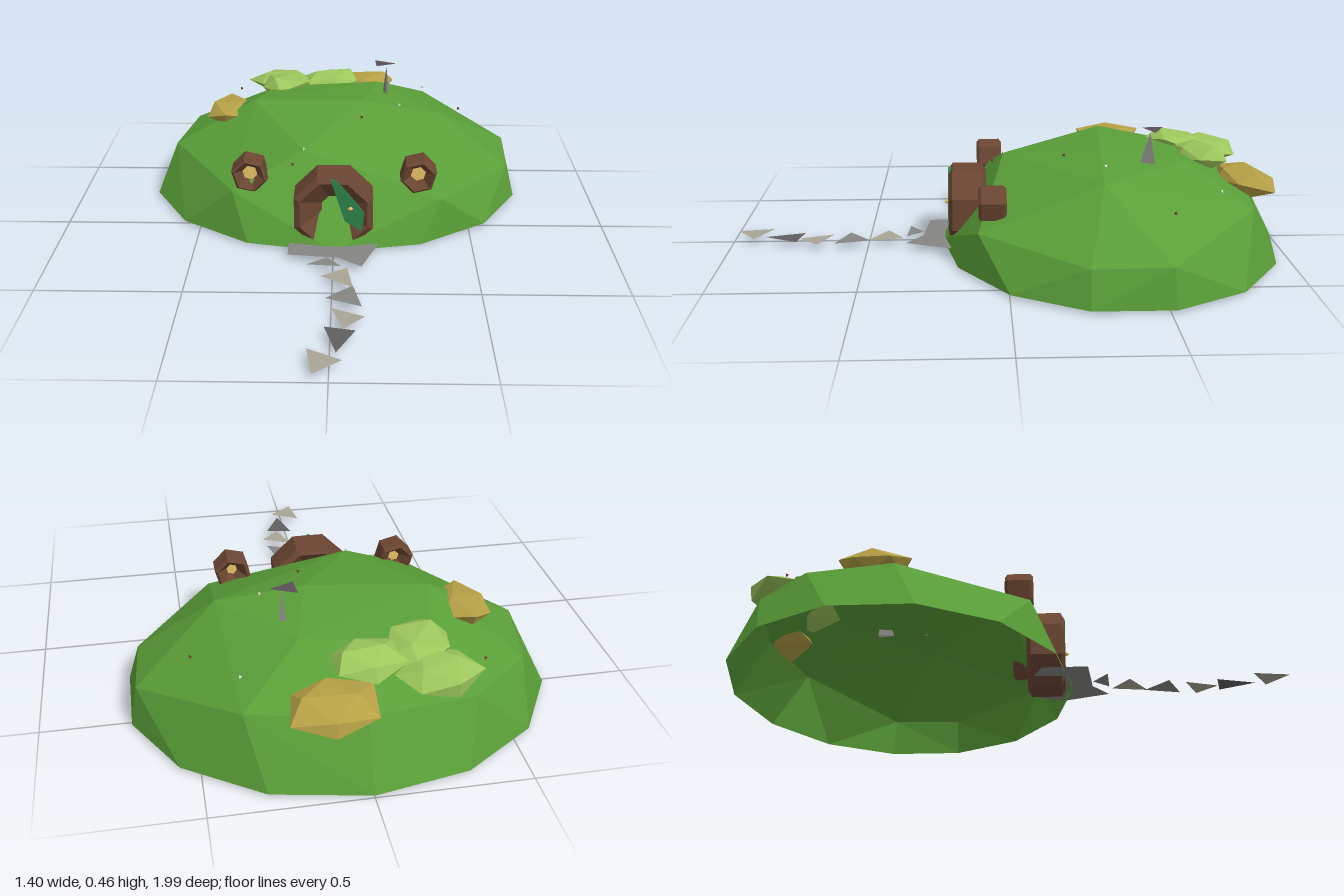
import * as THREE from 'three';
import { ConvexGeometry } from 'three/addons/geometries/ConvexGeometry.js';

const mat = (color) => new THREE.MeshStandardMaterial({ color, flatShading: true, side: THREE.DoubleSide });
const GRASS = mat(0x5a9f38), BROWN = mat(0x6b4632), STONE = mat(0x858583), SAND = mat(0xaaa595),
  DARK = mat(0x5f5f60), LEAF = mat(0x9dc75c), GOLD = mat(0xb5a045), DOOR = mat(0x2c8048),
  GLOW = mat(0xe8c468), SOOT = mat(0x5a5058), WHITE = mat(0xe8e8e0), RED = mat(0x7a3a30);

const v = (p) => new THREE.Vector3(...p);

function add(parent, name, geometry, material, position = [0, 0, 0], rotation = [0, 0, 0]) {
  const mesh = new THREE.Mesh(geometry, material);
  mesh.name = name;
  mesh.position.set(...position);
  mesh.rotation.set(...rotation);
  parent.add(mesh);
  return mesh;
}

// Flat polygon lying on the ground, corners given as [x, z]
function flat(corners) {
  const shape = new THREE.Shape(corners.map(([x, z]) => new THREE.Vector2(x, -z)));
  return new THREE.ShapeGeometry(shape).rotateX(-Math.PI / 2);
}

// Hull of the hill with its floor left open
function hillGeometry() {
  const points = [];
  for (let i = 0; i < 14; i++) {
    const a = (i / 14) * Math.PI * 2;
    points.push(new THREE.Vector3(0.72 * Math.sin(a), 0.02, -0.385 + 0.615 * Math.cos(a)));
  }
  const slope = [
    [0.39, 0.17, 0.1], [-0.37, 0.19, 0.09], [0.665, 0.145, -0.25], [0.68, 0.155, -0.51],
    [0.37, 0.24, -0.83], [0, 0.23, -0.89], [-0.36, 0.22, -0.83], [-0.58, 0.2, -0.62], [-0.63, 0.2, -0.33],
  ];
  const crown = [
    [-0.32, 0.365, -0.38], [0.1, 0.38, -0.34], [0.4, 0.34, -0.32],
    [-0.11, 0.315, 0], [0.17, 0.355, -0.63], [-0.25, 0.325, -0.65],
  ];
  points.push(...slope.map(v), ...crown.map(v));
  const pos = new ConvexGeometry(points).getAttribute('position');
  const kept = [];
  for (let i = 0; i < pos.count; i += 3) {
    if (Math.max(pos.getY(i), pos.getY(i + 1), pos.getY(i + 2)) < 0.03) continue;
    for (let k = i; k < i + 3; k++) kept.push(pos.getX(k), pos.getY(k), pos.getZ(k));
  }
  const geometry = new THREE.BufferGeometry();
  geometry.setAttribute('position', new THREE.Float32BufferAttribute(kept, 3));
  geometry.computeVertexNormals();
  return geometry;
}

// Chunky faceted ring facing +z, used for the doorway and windows
function ringGeometry(radius, depth, sides) {
  const profile = [[0.3, 0], [0.85, -0.5], [1, -0.4], [1, 0.4], [0.85, 0.5], [0.3, 0]]
    .map(([r, z]) => new THREE.Vector2(r * radius, z * depth));
  return new THREE.LatheGeometry(profile, sides, Math.PI / sides).rotateX(Math.PI / 2);
}

// Irregular faceted clump
function clumpGeometry(size, seed) {
  const g = new THREE.IcosahedronGeometry(1, 0);
  const p = g.getAttribute('position');
  for (let i = 0; i < p.count; i++) {
    const x = p.getX(i), y = p.getY(i), z = p.getZ(i);
    const s = 1 + 0.14 * Math.sin(seed * 2.3 + x * 5.1 + y * 3.7 + z * 7.3);
    p.setXYZ(i, x * s * size[0], y * s * size[1], z * s * size[2]);
  }
  g.computeVertexNormals();
  return g;
}

export function createModel() {
  const model = new THREE.Group();
  model.name = 'hillHouse';
  add(model, 'hill', hillGeometry(), GRASS);

  // Doorway with a leaf of the door showing past the turf
  const entrance = new THREE.Group();
  entrance.name = 'entrance';
  model.add(entrance);
  add(entrance, 'doorFrame', ringGeometry(0.152, 0.135, 8), BROWN, [0, 0.152, 0.135]);
  const leaf = new THREE.Shape([[-0.01, 0.29], [0.015, 0.28], [0.11, 0.16], [0.1, 0.09], [0.04, 0.13]]
    .map(([x, y]) => new THREE.Vector2(x, y)));
  add(entrance, 'door', new THREE.ExtrudeGeometry(leaf, { depth: 0.012, bevelEnabled: false }), DOOR, [0, 0, 0.193]);
  add(entrance, 'doorKnob', new THREE.OctahedronGeometry(0.01), GLOW, [0.06, 0.18, 0.208]);
  add(entrance, 'doorstep', flat([[-0.16, 0.12], [0, 0.06], [0.13, 0.11], [0.16, 0.2],
    [0.1, 0.36], [0.02, 0.3], [-0.16, 0.28]]), STONE, [0, 0.035, 0]);

  // Round windows either side
  for (const side of [-1, 1]) {
    const window = new THREE.Group();
    window.name = side > 0 ? 'leftWindow' : 'rightWindow';
    window.position.set(side * 0.305, 0.25, 0.05);
    window.rotation.z = side * 0.25;
    model.add(window);
    add(window, 'windowFrame', ringGeometry(0.067, 0.095, 6), BROWN);
    add(window, 'windowPane', new THREE.CircleGeometry(0.035, 6), GLOW, [0, 0, 0.01]);
  }

  // Stepping stones
  const stones = [
    [STONE, [-0.09, 0.35], [-0.02, 0.3], [0.03, 0.36]],
    [SAND, [-0.04, 0.43], [0.05, 0.37], [0.07, 0.5]],
    [STONE, [-0.02, 0.57], [0.07, 0.49], [0.1, 0.62]],
    [SAND, [0, 0.63], [0.11, 0.68], [0.04, 0.75]],
    [DARK, [-0.02, 0.74], [0.08, 0.76], [0.02, 0.88]],
    [SAND, [-0.07, 0.86], [0.04, 0.92], [-0.05, 0.99]],
  ];
  for (const [material, ...corners] of stones) add(model, 'steppingStone', flat(corners), material, [0, 0.036, 0]);

  // Chimney and its cap
  const stack = new THREE.ConeGeometry(0.035, 0.13, 3, 1, true);
  stack.scale(0.45, 1, 1.15);
  add(model, 'chimney', stack, STONE, [0.2, 0.4, -0.5]);
  add(model, 'chimneyCap', flat([[0.155, -0.55], [0.24, -0.51], [0.16, -0.475]]), SOOT, [0, 0.475, 0]);

  // Shrubs: material, centre, half sizes, tilt
  const shrubs = [
    [GOLD, [-0.43, 0.3, -0.43], [0.1, 0.045, 0.13], [0, 0, 0.05]],
    [GOLD, [0.11, 0.27, -0.87], [0.15, 0.045, 0.125], [-0.2, 0, 0]],
    [LEAF, [-0.24, 0.3, -0.8], [0.145, 0.05, 0.11], [-0.15, 0.4, 0]],
    [LEAF, [-0.21, 0.325, -0.67], [0.13, 0.045, 0.11], [-0.08, 0.9, 0]],
    [LEAF, [-0.02, 0.33, -0.73], [0.13, 0.045, 0.105], [-0.08, 0.2, 0]],
  ];
  shrubs.forEach(([material, at, size, tilt], i) => add(model, 'shrub', clumpGeometry(size, i), material, at, tilt));

  // Tiny flowers
  const flowers = [[-0.41, 0.285, -0.73], [0.36, 0.3, -0.72], [0.5, 0.272, -0.54],
    [0.25, 0.362, -0.34], [0.1, 0.362, -0.21], [-0.11, 0.318, 0], [-0.15, 0.275, 0.04]];
  flowers.forEach((at, i) => add(model, 'flower', new THREE.TetrahedronGeometry(0.008), i % 2 ? WHITE : RED, at));
  return model;
}
